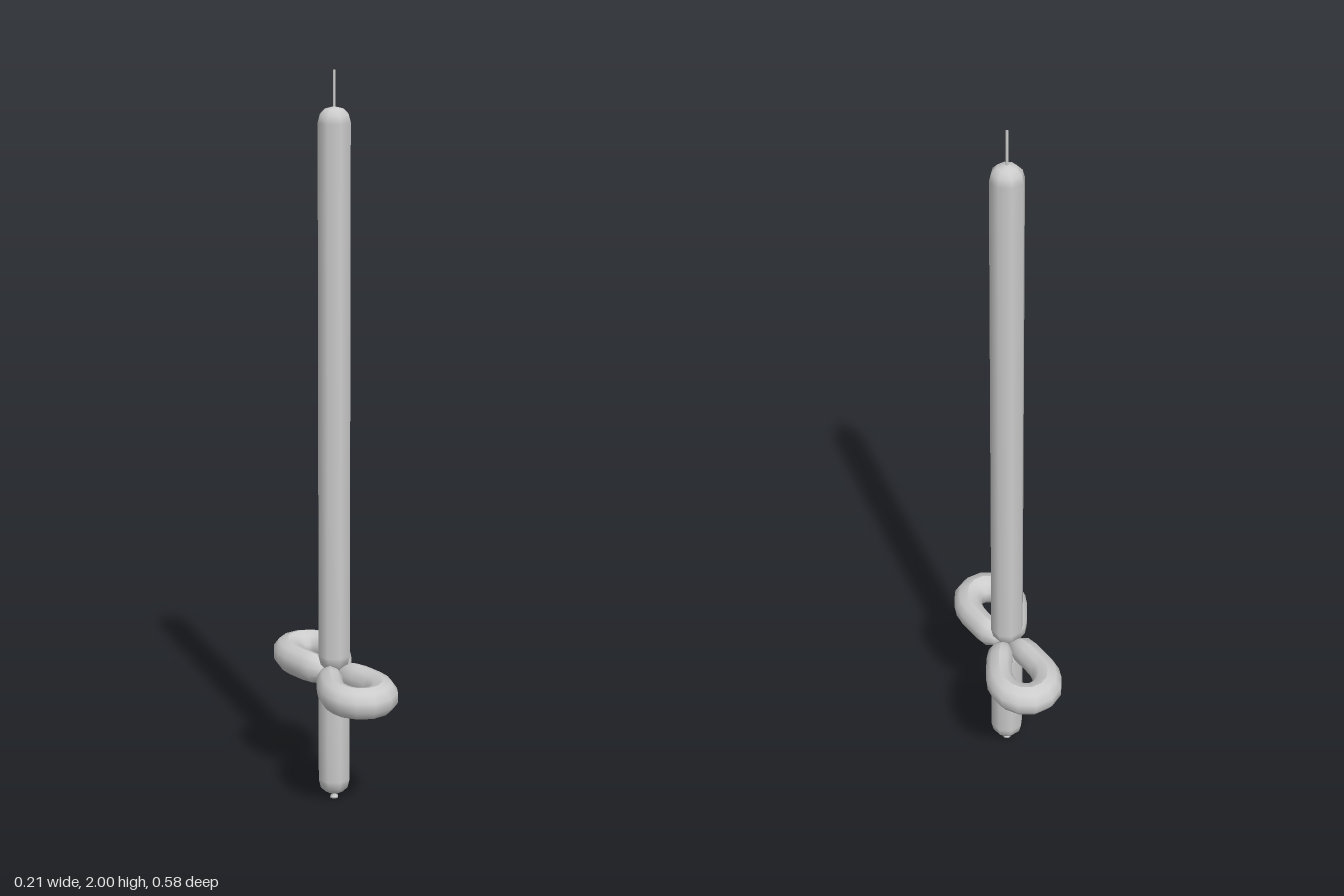
import * as THREE from 'three';

const material = new THREE.MeshStandardMaterial({ color: 0xcccccc, side: THREE.DoubleSide });
const PINCH_Y = 0.365;

// Upright eight-sided balloon section from [radius, height] points
function lathePart(name, profile) {
  const points = profile.map(([r, y]) => new THREE.Vector2(r, y));
  const mesh = new THREE.Mesh(new THREE.LatheGeometry(points, 8), material);
  mesh.name = name;
  return mesh;
}

// Teardrop balloon loop, pinched to a point at both ends
function guardLoop(name, sign) {
  const half = [[0.033, 0.05], [0.055, 0.11], [0.065, 0.165], [0.045, 0.225]];
  const path = [[0, 0], ...half, [0, 0.246], ...half.slice().reverse().map(([x, z]) => [-x, z]), [0, 0]];
  const curve = new THREE.CatmullRomCurve3(path.map(([x, z]) => new THREE.Vector3(x, 0, z)));
  const steps = 20, sides = 10;
  const geometry = new THREE.TubeGeometry(curve, steps, 1, sides, false);
  const pos = geometry.attributes.position;
  const v = new THREE.Vector3();
  for (let i = 0; i <= steps; i++) {
    const u = i / steps;
    const centre = curve.getPointAt(u);
    // Swell quickly from the pinch, then widen around the far bend
    const taper = Math.sin(Math.min(1, Math.min(u, 1 - u) / 0.12) * Math.PI / 2);
    const width = taper * (0.037 + 0.009 * Math.pow(Math.sin(u * Math.PI), 6));
    const height = taper * 0.043;
    for (let j = 0; j <= sides; j++) {
      const k = i * (sides + 1) + j;
      v.fromBufferAttribute(pos, k).sub(centre);
      v.set(v.x * width, v.y * height, v.z * width).add(centre);
      pos.setXYZ(k, v.x, v.y, v.z);
    }
  }
  geometry.computeVertexNormals();
  const mesh = new THREE.Mesh(geometry, material);
  mesh.name = name;
  mesh.position.y = PINCH_Y;
  if (sign < 0) mesh.rotation.y = Math.PI;
  return mesh;
}

export function createModel() {
  const group = new THREE.Group();
  group.name = 'balloonSword';

  // Long blade, pinched at the guard and rounded at the tip
  group.add(lathePart('blade', [
    [0, PINCH_Y], [0.024, 0.377], [0.04, 0.395], [0.046, 0.42], [0.046, 1.865],
    [0.04, 1.886], [0.026, 1.9], [0.004, 1.906],
  ]));

  // Uninflated end above the tip
  group.add(lathePart('tipTail', [[0.004, 1.9], [0.004, 2], [0, 2]]));

  // Short grip below the guard
  group.add(lathePart('grip', [
    [0.005, 0.016], [0.026, 0.021], [0.04, 0.036], [0.046, 0.06], [0.046, 0.315],
    [0.04, 0.337], [0.024, 0.354], [0, PINCH_Y],
  ]));

  // Tied knot with a flared lip
  group.add(lathePart('knot', [[0, 0], [0.012, 0], [0.011, 0.005], [0.005, 0.01], [0.006, 0.02]]));

  // Crossguard loops
  group.add(guardLoop('frontGuardLoop', 1), guardLoop('backGuardLoop', -1));
  return group;
}
